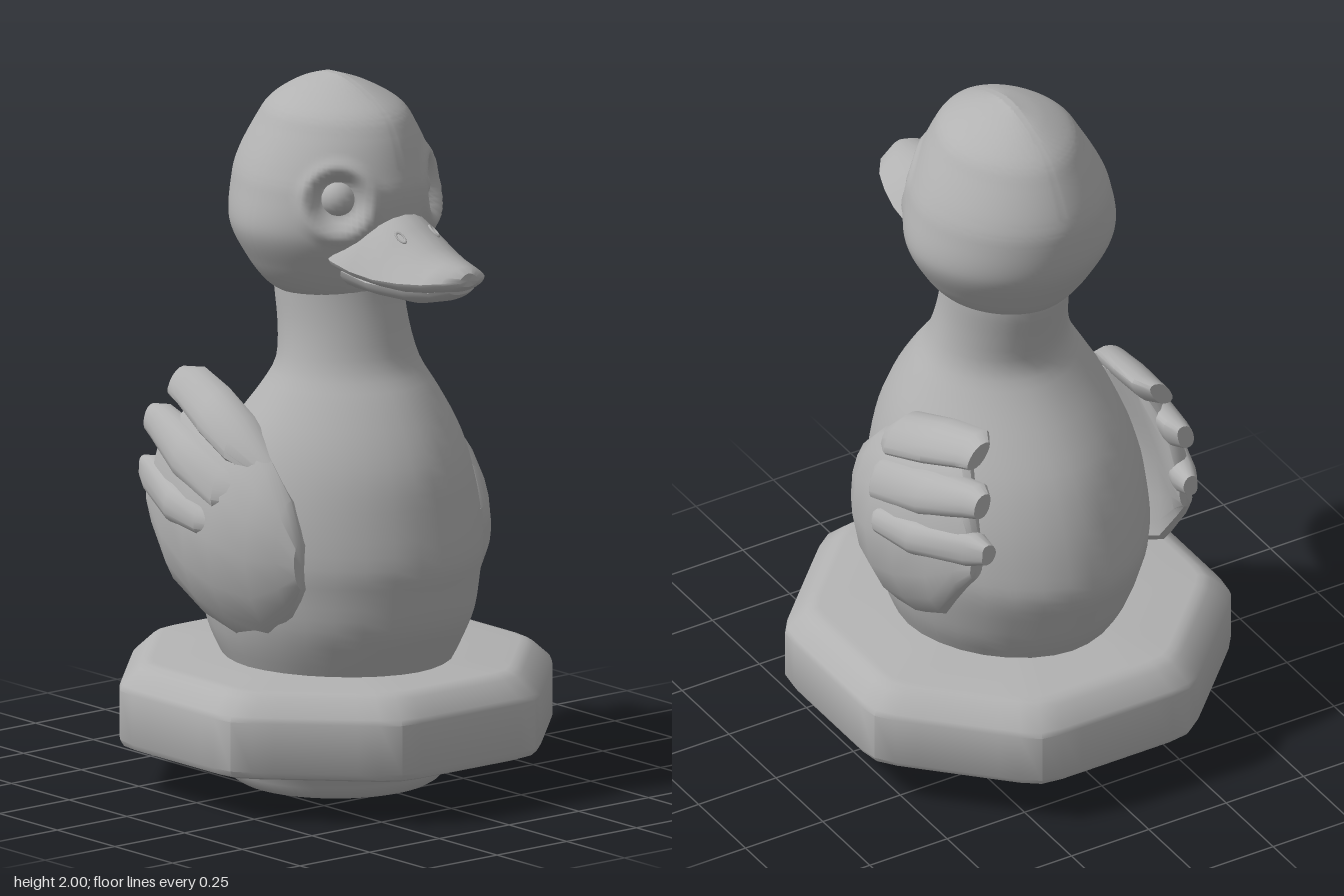
import * as THREE from 'three';
import { toCreasedNormals } from 'three/addons/utils/BufferGeometryUtils.js';

const grey = new THREE.MeshStandardMaterial({ color: 0xb2b2b2 });
grey.name = 'plain grey';

const TAU = Math.PI * 2;
const spow = (v, p) => Math.sign(v) * Math.abs(v) ** p;

// One closed ring of n points, from a function of the angle
const ring = (n, fn) => Array.from({ length: n }, (_, i) => fn((i / n) * TAU));

// Skin a list of rings, cap both ends and make the faces point outwards
function loft(rings, crease = 0.7) {
  const n = rings[0].length, m = rings.length, pos = [], idx = [];
  rings.forEach(r => r.forEach(p => pos.push(...p)));
  for (const r of [rings[0], rings[m - 1]]) {
    for (let k = 0; k < 3; k++) pos.push(r.reduce((a, p) => a + p[k], 0) / n);
  }
  for (let i = 0; i < n; i++) {
    const j = (i + 1) % n;
    for (let k = 0; k < m - 1; k++) {
      const a = k * n + i, b = k * n + j;
      idx.push(a, b, b + n, a, b + n, a + n);
    }
    idx.push(m * n, j, i, m * n + 1, (m - 1) * n + i, (m - 1) * n + j);
  }
  let volume = 0;
  const at = i => new THREE.Vector3().fromArray(pos, i * 3);
  for (let i = 0; i < idx.length; i += 3) {
    volume += at(idx[i]).dot(at(idx[i + 1]).cross(at(idx[i + 2])));
  }
  if (volume < 0) idx.reverse();
  const g = new THREE.BufferGeometry();
  g.setAttribute('position', new THREE.Float32BufferAttribute(pos, 3));
  g.setIndex(idx);
  return toCreasedNormals(g, crease);
}

function add(parent, name, geometry) {
  const mesh = new THREE.Mesh(geometry, grey);
  mesh.name = name;
  parent.add(mesh);
  return mesh;
}

// Horizontal, slightly pointed oval: [height, half width, front z, back z]
const oval = (n, [y, w, f, b]) => ring(n, a =>
  [w * spow(Math.cos(a), 1.08), y, (f + b) / 2 + (f - b) / 2 * spow(Math.sin(a), 1.08)]);

// Insert rows along smooth curves, column by column
function densify(rows, steps) {
  const count = (rows.length - 1) * steps;
  const columns = rows[0].map((_, c) =>
    new THREE.SplineCurve(rows.map(r => new THREE.Vector2(r[c], 0))));
  return Array.from({ length: count + 1 }, (_, i) => columns.map(c => c.getPoint(i / count).x));
}

// Octagonal plinth on a flared, hollow round foot
function makeBase() {
  const circle = (y, r) => ring(64, a => [r * Math.cos(a), y, r * Math.sin(a)]);
  const octagon = (y, r) => ring(64, a => {
    let sum = 0;
    for (let k = 0; k < 8; k++) sum += Math.max(0, Math.cos(a - k * TAU / 8)) ** 44;
    const d = r * sum ** (-1 / 44);
    return [d * Math.cos(a), y, d * Math.sin(a)];
  });
  const foot = [[0.33, 0.235], [0.01, 0.235], [0, 0.245], [0, 0.27], [0.012, 0.29],
    [0.035, 0.303], [0.06, 0.312], [0.085, 0.33], [0.105, 0.355], [0.12, 0.39]];
  const plate = [[0.12, 0.555], [0.128, 0.575], [0.145, 0.585], [0.285, 0.585],
    [0.3, 0.579], [0.345, 0.532], [0.356, 0.515], [0.36, 0.495]];
  return loft([...foot.map(r => circle(...r)), ...plate.map(r => octagon(...r))], 0.6);
}

// Head with a hollow pressed in for each eye
const eye = s => new THREE.Vector3(s * 0.175, 1.695, 0.225);
const headCentre = new THREE.Vector3(0, 1.69, 0);
function makeHead() {
  const rows = [[1.39, 0.15, 0.17, -0.15], [1.42, 0.2, 0.2, -0.2], [1.49, 0.255, 0.24, -0.25],
    [1.59, 0.302, 0.285, -0.3], [1.7, 0.285, 0.3, -0.312], [1.77, 0.26, 0.287, -0.3],
    [1.86, 0.212, 0.255, -0.255], [1.92, 0.172, 0.212, -0.21], [1.97, 0.09, 0.12, -0.13],
    [2.0, 0.008, 0.03, -0.04]];
  const rings = densify(rows, 9).map(r => oval(128, r).map(p => {
    const v = new THREE.Vector3(...p);
    const d = v.distanceTo(eye(Math.sign(v.x) || 1));
    const depth = 0.045 * (1 - THREE.MathUtils.smoothstep(d, 0.05, 0.095))
      - 0.008 * Math.max(0, 1 - Math.abs(d - 0.1) / 0.03);
    return v.addScaledVector(headCentre.clone().sub(v).normalize(), depth).toArray();
  }));
  return loft(rings, Math.PI);
}

// Bill half: rows of [z, half width, top, edge, bottom]
const bill = rows => loft(rows.map(([z, w, top, edge, low]) => ring(28, a => {
  const s = Math.sin(a);
  return [w * Math.cos(a), edge + (s > 0 ? (top - edge) * s ** 2 : (edge - low) * s), z];
})), 0.8);

// Outer face of the wing follows the curve of the body
function wingFace(y, z) {
  const taper = z > -0.06 ? 1.3 : 0.8 * THREE.MathUtils.clamp((1.15 - y) / 0.3, 0, 1);
  return 0.475 - (y > 0.72 ? 0.95 : 1.1) * (y - 0.72) ** 2 - taper * (z + 0.06) ** 2;
}

// Wing piece: rows of [z, centre y, half height, half thickness, inset]
const wingPiece = (s, rows) => loft(rows.map(([z, yc, h, t, inset = 0]) => ring(16, a => {
  const y = yc + h * spow(Math.sin(a), 0.85);
  return [s * (wingFace(y, z) - inset - t + t * spow(Math.cos(a), 0.85)), y, z];
})), 0.7);

function makeWing(s) {
  const wing = new THREE.Group();
  wing.name = s > 0 ? 'leftWing' : 'rightWing';
  add(wing, 'wingShoulder', wingPiece(s, [[0.245, 0.69, 0.07, 0.025], [0.2, 0.7, 0.17, 0.04],
    [0.12, 0.7, 0.255, 0.055, 0.002], [0, 0.74, 0.3, 0.06, 0.006], [-0.12, 0.775, 0.295, 0.055, 0.015],
    [-0.25, 0.82, 0.265, 0.045, 0.02], [-0.34, 0.825, 0.145, 0.035, 0.022],
    [-0.39, 0.79, 0.04, 0.02, 0.025]]));
  const feathers = [
    [[0.13, 0.92, 0.025, 0.025, 0.05], [0, 1.01, 0.06, 0.045], [-0.15, 1.06, 0.058, 0.048],
      [-0.28, 1.1, 0.05, 0.044], [-0.33, 1.108, 0.038, 0.028]],
    [[0.13, 0.85, 0.03, 0.025, 0.05], [0, 0.885, 0.07, 0.05], [-0.2, 0.94, 0.066, 0.05],
      [-0.36, 0.988, 0.05, 0.04], [-0.405, 0.995, 0.038, 0.025]],
    [[0.08, 0.765, 0.02, 0.025, 0.05], [-0.05, 0.785, 0.045, 0.05], [-0.2, 0.805, 0.056, 0.05],
      [-0.38, 0.842, 0.05, 0.04], [-0.435, 0.85, 0.032, 0.022]],
  ];
  feathers.forEach((rows, i) => add(wing, 'feather' + (i + 1), wingPiece(s, rows)));
  return wing;
}

export function createModel() {
  const model = new THREE.Group();
  model.name = 'duckOnPlinth';
  add(model, 'base', makeBase());

  // Plump body running up into the neck
  const body = [[0.34, 0.31, 0.345, -0.33], [0.42, 0.345, 0.39, -0.38], [0.5, 0.366, 0.43, -0.415],
    [0.6, 0.38, 0.45, -0.452], [0.68, 0.385, 0.462, -0.447], [0.8, 0.375, 0.445, -0.415],
    [0.92, 0.345, 0.42, -0.36], [1.02, 0.305, 0.375, -0.285], [1.12, 0.25, 0.31, -0.2],
    [1.2, 0.207, 0.25, -0.15], [1.3, 0.185, 0.222, -0.16], [1.4, 0.18, 0.205, -0.18],
    [1.48, 0.18, 0.2, -0.18]];
  add(model, 'body', loft(densify(body, 3).map(r => oval(32, r))));
  add(model, 'head', makeHead());

  // Bill
  add(model, 'upperBill', bill([[0.14, 0.165, 1.62, 1.55, 1.51], [0.2, 0.188, 1.66, 1.53, 1.48],
    [0.27, 0.176, 1.664, 1.51, 1.47], [0.35, 0.16, 1.622, 1.5, 1.46], [0.43, 0.138, 1.578, 1.5, 1.455],
    [0.5, 0.113, 1.556, 1.505, 1.465], [0.55, 0.078, 1.55, 1.512, 1.48],
    [0.575, 0.035, 1.535, 1.515, 1.497]]));
  add(model, 'lowerBill', bill([[0.12, 0.14, 1.52, 1.5, 1.42], [0.3, 0.145, 1.5, 1.48, 1.425],
    [0.42, 0.115, 1.49, 1.475, 1.425], [0.5, 0.085, 1.49, 1.478, 1.445],
    [0.545, 0.045, 1.495, 1.485, 1.47]]));

  for (const s of [1, -1]) {
    const side = s > 0 ? 'left' : 'right';
    // Eyeball sunk in its hollow
    const ball = add(model, side + 'Eye', new THREE.SphereGeometry(0.056, 16, 12));
    const e = eye(s);
    ball.position.copy(e).addScaledVector(headCentre.clone().sub(e).normalize(), 0.075);
    // Nostril rim
    const nostril = add(model, side + 'Nostril', new THREE.TorusGeometry(0.013, 0.004, 6, 12));
    nostril.position.set(s * 0.06, 1.605, 0.352);
    nostril.rotation.set(-1.05, s * 0.4, 0);
    nostril.scale.set(0.7, 1.6, 1);
    model.add(makeWing(s));
  }
  return model;
}
